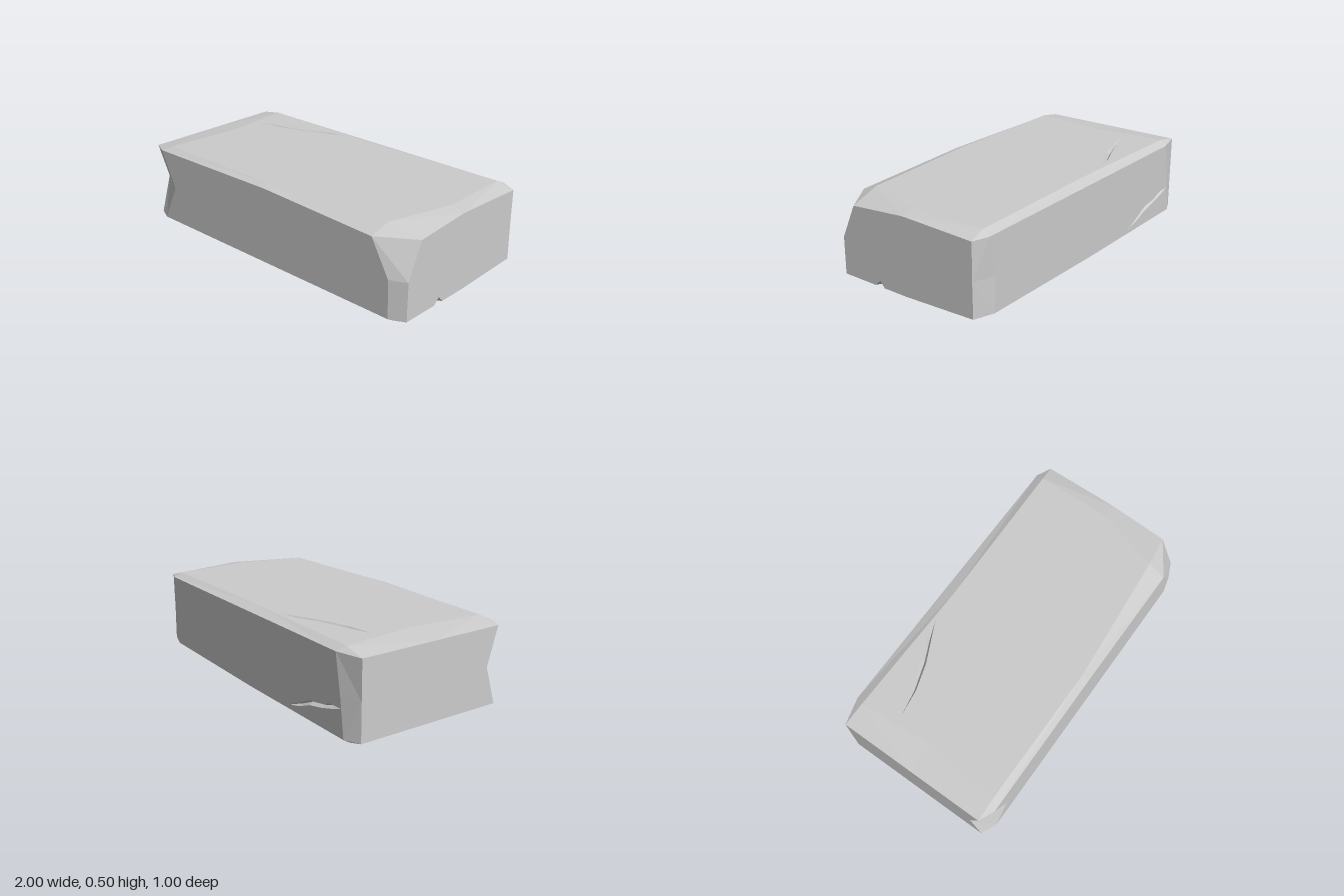
import * as THREE from 'three';

const HALF = [1, 0.25, 0.5];
const INSET = [0.09, 0.025, 0.042];
const CENTER = new THREE.Vector3(0, 0.25, 0);
const RING = [[-1, -1], [0, -1], [1, -1], [1, 0], [1, 1], [0, 1], [-1, 1], [-1, 0]];

// Worn spots: bevel points that leave the regular inset. Key = face axis + signs of x, y, z.
const WORN = {
  // large chip on the top front left corner
  'x+++': [1, 0.455, 0.36], 'y+++': [0.8, 0.5, 0.39], 'z+++': [0.79, 0.455, 0.5],
  'x+0+': [1, 0.25, 0.455], 'z+0+': [0.905, 0.25, 0.5],
  // top edges
  'x++0': [1, 0.485, 0], 'x++-': [1, 0.47, -0.46], 'y++-': [0.9, 0.5, -0.45],
  'z0++': [0, 0.485, 0.5], 'y0++': [0, 0.5, 0.455],
  'y0+-': [0, 0.5, -0.435], 'y-+0': [-0.82, 0.5, 0],
  'y-++': [-0.86, 0.5, 0.455], 'y-+-': [-0.86, 0.5, -0.45],
  // dent in the front right upright edge
  'x-0+': [-1, 0.25, 0.39], 'z-0+': [-0.8, 0.25, 0.5],
  // back upright edges
  'z-+-': [-0.84, 0.475, -0.5], 'z-0-': [-0.88, 0.25, -0.5], 'z+0-': [0.87, 0.25, -0.5],
  // bottom back left corner
  'x+--': [1, 0.043, -0.46], 'y+--': [0.88, 0, -0.43], 'z+--': [0.88, 0.04, -0.5],
};

// Bevel point on the face across the given axis, at grid position g (-1, 0 or 1 each way)
function point(axis, g) {
  const key = 'xyz'[axis] + g.map((s) => '-0+'[s + 1]).join('');
  const c = WORN[key] || g.map((s, i) =>
    s * (HALF[i] - (i === axis ? 0 : INSET[i])) + (i === 1 ? 0.25 : 0));
  return new THREE.Vector3(...c);
}

// Adds a triangle facing away from the middle of the block
function addTriangle(out, a, b, c) {
  const n = b.clone().sub(a).cross(c.clone().sub(a));
  const away = a.clone().add(b).add(c).divideScalar(3).sub(CENTER);
  out.push(a, ...(n.dot(away) < 0 ? [c, b] : [b, c]));
}

function addQuad(out, a, b, c, d) {
  addTriangle(out, a, b, c);
  addTriangle(out, a, c, d);
}

function makeMesh(points, name, side) {
  const geometry = new THREE.BufferGeometry().setFromPoints(points);
  geometry.computeVertexNormals();
  const mesh = new THREE.Mesh(geometry,
    new THREE.MeshStandardMaterial({ color: 0xcccccc, flatShading: true, side }));
  mesh.name = name;
  return mesh;
}

// Crack outline from [u, v, half width] points along its run; the ends are sharp
function crack(run, place, depth) {
  const upper = run.map(([u, v, w]) => place(u, v + w, 0));
  const lower = run.map(([u, v, w]) => place(u, v - w, 0));
  const deep = run.map(([u, v, w]) => place(u, v, w > 0 ? depth : 0));
  const walls = [];
  for (let i = 0; i < run.length - 1; i++) {
    for (const rim of [upper, lower]) addQuad(walls, rim[i], rim[i + 1], deep[i + 1], deep[i]);
  }
  return { outline: [...upper, ...lower.slice(1, -1).reverse()], walls };
}

export function createModel() {
  const group = new THREE.Group();
  group.name = 'stoneBlock';
  const block = [];
  const v = (x, y, z) => new THREE.Vector3(x, y, z);

  const topCrack = crack(
    [[-0.78, -0.23, 0], [-0.62, -0.265, 0.012], [-0.46, -0.32, 0.016], [-0.33, -0.38, 0.012], [-0.22, -0.42, 0]],
    (x, z, d) => v(x, 0.5 - d, z), 0.02);
  const backCrack = crack(
    [[-0.42, 0.05, 0], [-0.52, 0.085, 0.011], [-0.61, 0.125, 0.014], [-0.72, 0.145, 0.011], [-0.8, 0.17, 0.014], [-0.885, 0.185, 0]],
    (x, y, d) => v(x, y, -0.5 + d), 0.025);

  // Notch under the left end
  const zs = [0.23, 0.16];
  const sideRim = zs.map((z) => v(1, 0.025, z));
  const baseRim = zs.map((z) => v(0.91, 0, z));
  const apex = v(1, 0.06, 0.19);
  const tip = v(0.73, 0, 0.19);
  const notch = [];
  for (const i of [0, 1]) addQuad(notch, sideRim[i], baseRim[i], tip, apex);

  // Six flat faces
  for (let axis = 0; axis < 3; axis++) {
    const [a, b] = [0, 1, 2].filter((i) => i !== axis);
    for (const s of [-1, 1]) {
      const loop = RING.map(([i, j]) => {
        const g = [0, 0, 0];
        g[axis] = s; g[a] = i; g[b] = j;
        return point(axis, g);
      });
      if (axis === 0 && s > 0) loop.splice(7, 0, sideRim[0], apex, sideRim[1]);
      if (axis === 1 && s < 0) loop.splice(4, 0, baseRim[1], tip, baseRim[0]);
      const holes = [];
      if (axis === 1 && s > 0) holes.push(topCrack.outline);
      if (axis === 2 && s < 0) holes.push(backCrack.outline);
      const flat = (p) => new THREE.Vector2(p.getComponent(a), p.getComponent(b));
      const all = [loop, ...holes].flat();
      THREE.ShapeUtils.triangulateShape(loop.map(flat), holes.map((h) => h.map(flat)))
        .forEach((t) => addTriangle(block, ...t.map((i) => all[i])));
    }
  }

  // Twelve bevelled edges, each in two halves
  for (let along = 0; along < 3; along++) {
    const [a, b] = [0, 1, 2].filter((i) => i !== along);
    for (const sa of [-1, 1]) for (const sb of [-1, 1]) for (const half of [-1, 1]) {
      const end = [0, 0, 0];
      end[a] = sa; end[b] = sb;
      const mid = [...end];
      end[along] = half;
      const [a0, a1, b0, b1] = [point(a, mid), point(a, end), point(b, mid), point(b, end)];
      if (along === 2 && sa > 0 && sb < 0 && half > 0) {
        // this half is split by the notch
        addQuad(block, a1, sideRim[0], baseRim[0], b1);
        addQuad(block, sideRim[1], a0, b0, baseRim[1]);
      } else addQuad(block, a0, a1, b1, b0);
    }
  }

  // Eight corner facets
  for (const x of [-1, 1]) for (const y of [-1, 1]) for (const z of [-1, 1]) {
    addTriangle(block, ...[0, 1, 2].map((axis) => point(axis, [x, y, z])));
  }

  group.add(makeMesh(block, 'block', THREE.FrontSide));
  group.add(makeMesh(topCrack.walls, 'topCrack', THREE.DoubleSide));
  group.add(makeMesh(backCrack.walls, 'backCrack', THREE.DoubleSide));
  group.add(makeMesh(notch, 'bottomNotch', THREE.DoubleSide));
  return group;
}
